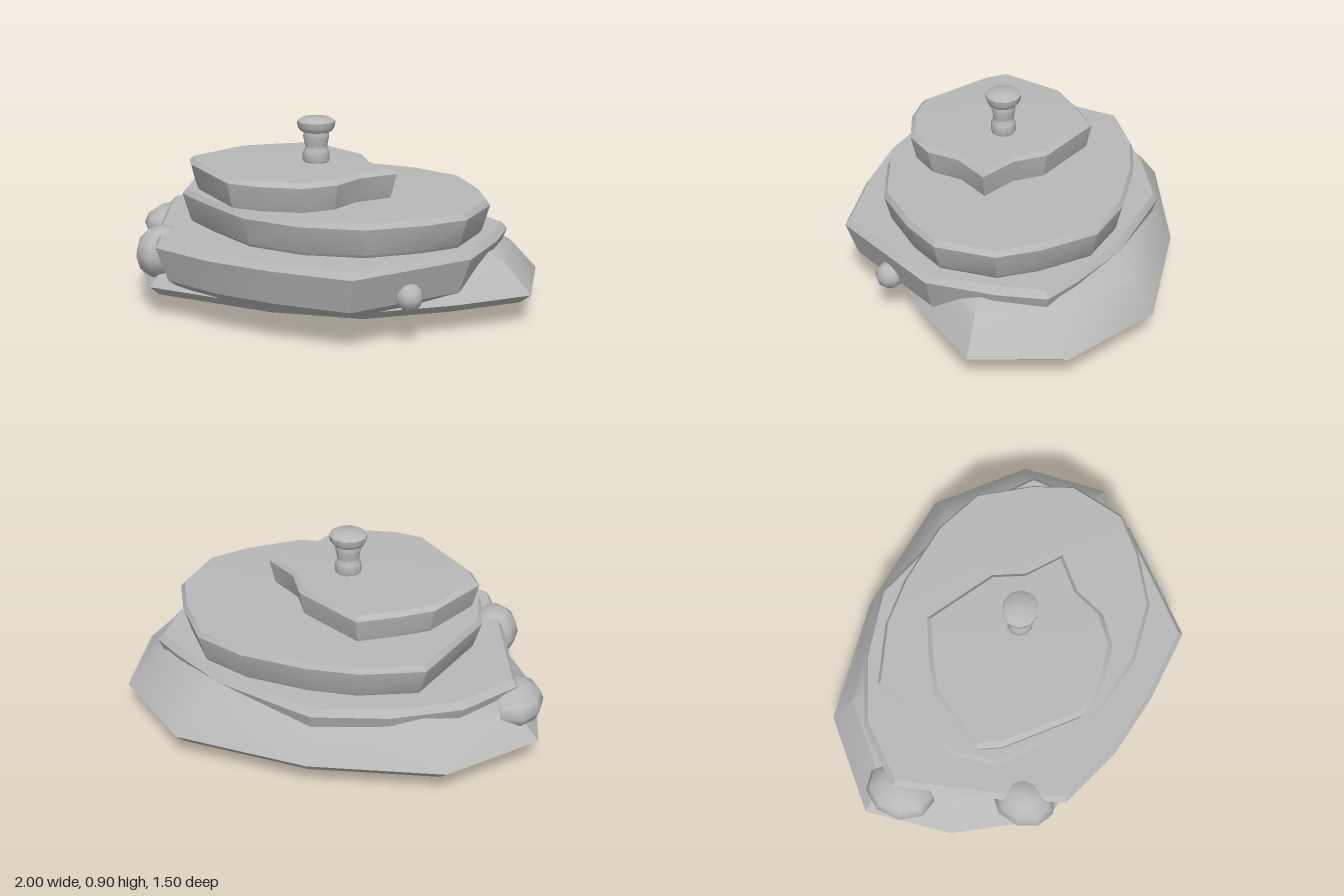
import * as THREE from 'three';
import { toCreasedNormals } from 'three/addons/utils/BufferGeometryUtils.js';

const stone = new THREE.MeshStandardMaterial({ color: 0xb8b8b8 });
stone.name = 'grey stone';

// Outline as [x, z] points; levels as [y, scale] from bottom to top
function slab(name, outline, levels, [cx, cz], crease = 0.5) {
  const n = outline.length, pos = [], index = [];
  for (const [y, s] of levels)
    for (const [x, z] of outline) pos.push(cx + (x - cx) * s, y, cz + (z - cz) * s);
  const top = (levels.length - 1) * n, bottomMid = pos.length / 3;
  pos.push(cx, levels[0][0], cz, cx, levels[levels.length - 1][0] + 0.003, cz);
  for (let i = 0; i < n; i++) {
    const j = (i + 1) % n;
    for (let r = 0; r < top; r += n)
      index.push(r + i, r + i + n, r + j, r + j, r + i + n, r + j + n);
    index.push(bottomMid, i, j, bottomMid + 1, top + j, top + i);
  }
  const geo = new THREE.BufferGeometry();
  geo.setAttribute('position', new THREE.Float32BufferAttribute(pos, 3));
  geo.setIndex(index);
  return part(name, toCreasedNormals(geo, crease));
}

function part(name, geometry) {
  const mesh = new THREE.Mesh(geometry, stone);
  mesh.name = name;
  return mesh;
}

// Rounded lump, slightly irregular
function boulder(name, [x, y, z], [rx, ry, rz], turn) {
  const geo = new THREE.SphereGeometry(1, 9, 6);
  geo.rotateY(turn);
  geo.scale(rx, ry, rz);
  const mesh = part(name, geo);
  mesh.position.set(x, y, z);
  return mesh;
}

export function createModel() {
  const model = new THREE.Group();
  model.name = 'stackedSlabs';

  // Wide dished base with a sloping upper side
  model.add(slab('base', [
    [-1, -0.33], [-0.64, -0.67], [-0.03, -0.755], [0.6, -0.68], [0.96, -0.33], [1, 0.1],
    [0.7, 0.33], [0.34, 0.54], [-0.1, 0.57], [-0.7, 0.48], [-0.94, 0.08],
  ], [[0.07, 0.5], [0.085, 0.75], [0.11, 0.95], [0.15, 1], [0.29, 0.87], [0.36, 0.74], [0.395, 0.5]],
  [0, -0.06], 0.6));

  // Three tiers
  model.add(slab('lowerTier', [
    [-0.88, -0.23], [-0.67, -0.47], [-0.37, -0.61], [-0.03, -0.68], [0.43, -0.52], [0.69, -0.345],
    [0.83, -0.23], [0.82, 0], [0.76, 0.31], [0.34, 0.745], [-0.03, 0.72], [-0.34, 0.66],
    [-0.64, 0.54], [-0.74, 0.27],
  ], [[0.163, 0.87], [0.2, 0.93], [0.362, 1], [0.393, 0.97]], [0, 0.05]));

  model.add(slab('middleTier', [
    [-0.675, -0.01], [-0.5, -0.46], [-0.22, -0.55], [0.02, -0.56], [0.33, -0.52], [0.56, -0.42],
    [0.71, -0.19], [0.785, 0], [0.73, 0.27], [0.58, 0.41], [0.35, 0.555], [0.06, 0.59],
    [-0.22, 0.53], [-0.49, 0.33], [-0.64, 0.2],
  ], [[0.39, 0.93], [0.408, 0.95], [0.53, 1], [0.555, 0.975]], [0.05, 0]));

  model.add(slab('upperTier', [
    [-0.64, 0.1], [-0.48, -0.18], [-0.33, -0.27], [-0.16, -0.355], [0.15, -0.165], [0.22, -0.02],
    [0.37, 0.1], [0.23, 0.23], [0.17, 0.38], [0.04, 0.48], [-0.16, 0.505], [-0.31, 0.48],
    [-0.59, 0.2],
  ], [[0.55, 0.93], [0.572, 0.95], [0.672, 1], [0.692, 0.95]], [-0.14, 0.08]));

  // Beaded post with a flared cap
  const profile = [
    [0.052, 0.68], [0.063, 0.7], [0.063, 0.74], [0.052, 0.762], [0.053, 0.775], [0.061, 0.815],
    [0.057, 0.835], [0.074, 0.84], [0.086, 0.858], [0.09, 0.885], [0.07, 0.9], [0, 0.903],
  ].map(([x, y]) => new THREE.Vector2(x, y));
  const knob = part('knob', toCreasedNormals(new THREE.LatheGeometry(profile, 10), 0.7));
  knob.position.set(-0.028, 0, 0.052);
  knob.scale.z = 0.93;
  model.add(knob);

  // Small foot beneath the base
  model.add(slab('foot', [
    [-0.2, -0.02], [-0.09, -0.11], [0.05, -0.11], [0.15, -0.03], [0.07, 0.04], [-0.08, 0.055],
  ], [[0, 0.3], [0.025, 0.58], [0.08, 1]], [-0.025, -0.025], 0.7));

  // Lumps around the lower tier
  model.add(
    boulder('sideBoulder', [-0.86, 0.265, -0.2], [0.14, 0.095, 0.17], 0.3),
    boulder('frontBoulder', [-0.685, 0.285, 0.35], [0.125, 0.125, 0.15], 0.8),
    boulder('pebble', [0.53, 0.232, 0.51], [0.062, 0.062, 0.065], 0.2),
  );
  return model;
}
